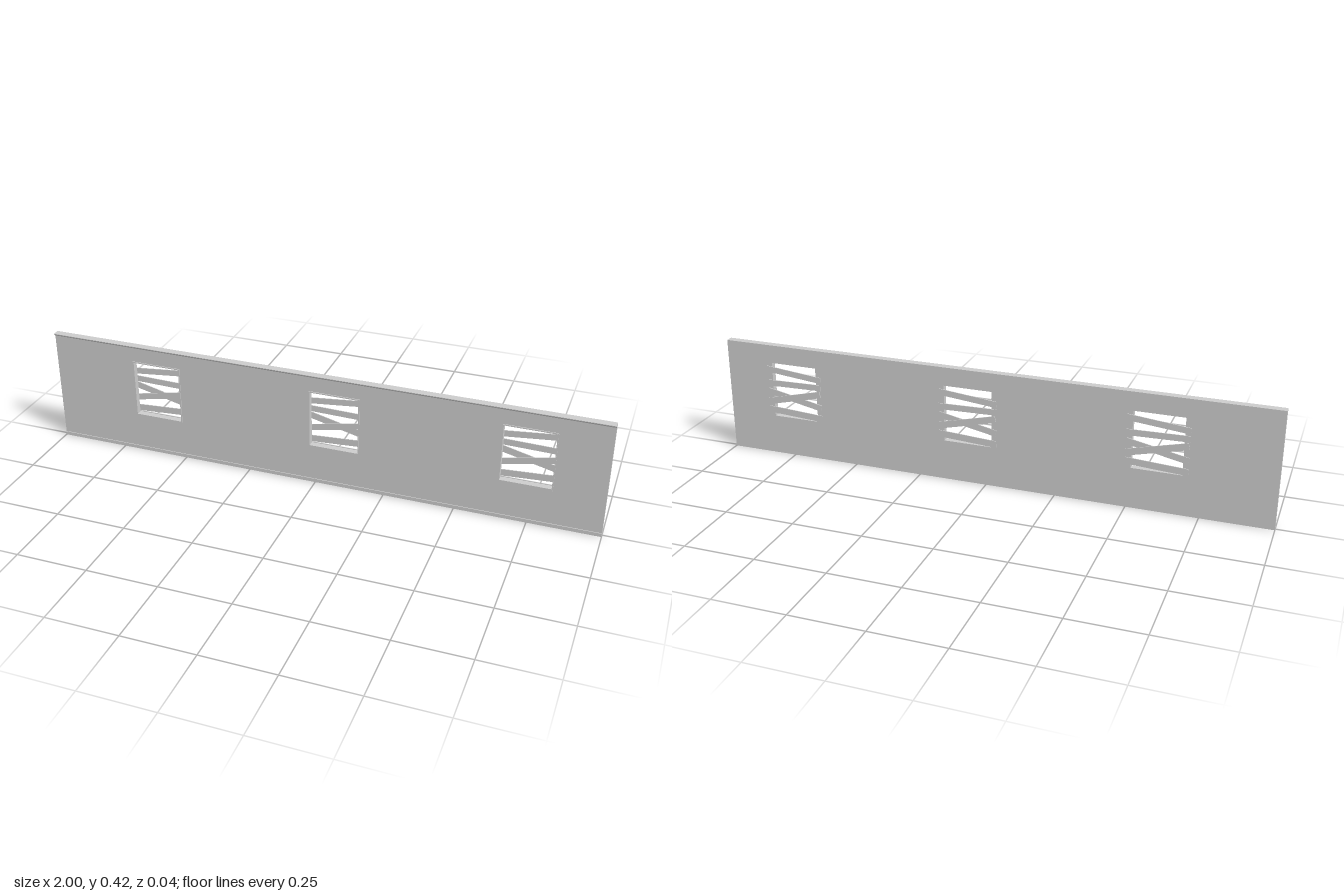
import * as THREE from 'three';

const grey = new THREE.MeshStandardMaterial({ color: 0xcccccc, flatShading: true });
const WINDOWS = [-0.6, 0.067, 0.735];
const HALF = 0.087, BOTTOM = 0.147, TOP = 0.353; // window opening
const FACE = 0.009; // half the wall thickness

function rect(Type, x0, y0, x1, y1) {
  const r = new Type();
  r.moveTo(x0, y0);
  r.lineTo(x1, y0);
  r.lineTo(x1, y1);
  r.lineTo(x0, y1);
  r.closePath();
  return r;
}

function add(parent, name, geometry, x = 0, y = 0, z = 0) {
  const mesh = new THREE.Mesh(geometry, grey);
  mesh.name = name;
  mesh.position.set(x, y, z);
  parent.add(mesh);
  return mesh;
}

const extrude = (shape, depth) => new THREE.ExtrudeGeometry(shape, { depth, bevelEnabled: false });

export function createModel() {
  const model = new THREE.Group();
  model.name = 'boardedWall';

  // Wall slab with three window openings
  const wall = rect(THREE.Shape, -1, 0, 1, 0.42);
  for (const x of WINDOWS) wall.holes.push(rect(THREE.Path, x - HALF, BOTTOM, x + HALF, TOP));
  add(model, 'wall', extrude(wall, FACE * 2), 0, 0, -FACE);

  // Skirting along the foot
  add(model, 'skirting', new THREE.BoxGeometry(2, 0.013, 0.003), 0, 0.0065, FACE + 0.0015);

  // Wedge-shaped cornice: profile in (-z, y), turned to run along x
  const wedge = new THREE.Shape([
    new THREE.Vector2(-0.018, 0.42), new THREE.Vector2(-0.018, 0.418),
    new THREE.Vector2(-FACE, 0.41), new THREE.Vector2(-FACE, 0.42),
  ]);
  add(model, 'cornice', extrude(wedge, 2), -1).rotation.y = Math.PI / 2;

  // Planks: centre height, tilt, width, distance behind the wall
  const planks = [
    [0.32, 0.10, 0.022, 0.003],
    [0.279, -0.02, 0.022, 0.003],
    [0.224, 0.20, 0.023, 0.003],
    [0.231, -0.24, 0.024, 0.006],
    [0.168, 0.06, 0.024, 0.003],
  ];

  for (const x of WINDOWS) {
    const unit = new THREE.Group();
    unit.name = 'boardedWindow';
    unit.position.x = x;
    model.add(unit);

    // Slim raised frame on the front, deeper at the sill
    const frame = rect(THREE.Shape, -HALF - 0.004, 0.135, HALF + 0.004, 0.357);
    frame.holes.push(rect(THREE.Path, -HALF, BOTTOM, HALF, TOP));
    add(unit, 'windowFrame', extrude(frame, 0.003), 0, 0, FACE);

    // Boards nailed across the back
    for (const [y, tilt, width, gap] of planks) {
      const board = new THREE.BoxGeometry(0.214, width, 0.003);
      add(unit, 'plank', board, 0, y, -FACE - gap - 0.0005).rotation.z = tilt;
    }
  }
  return model;
}
